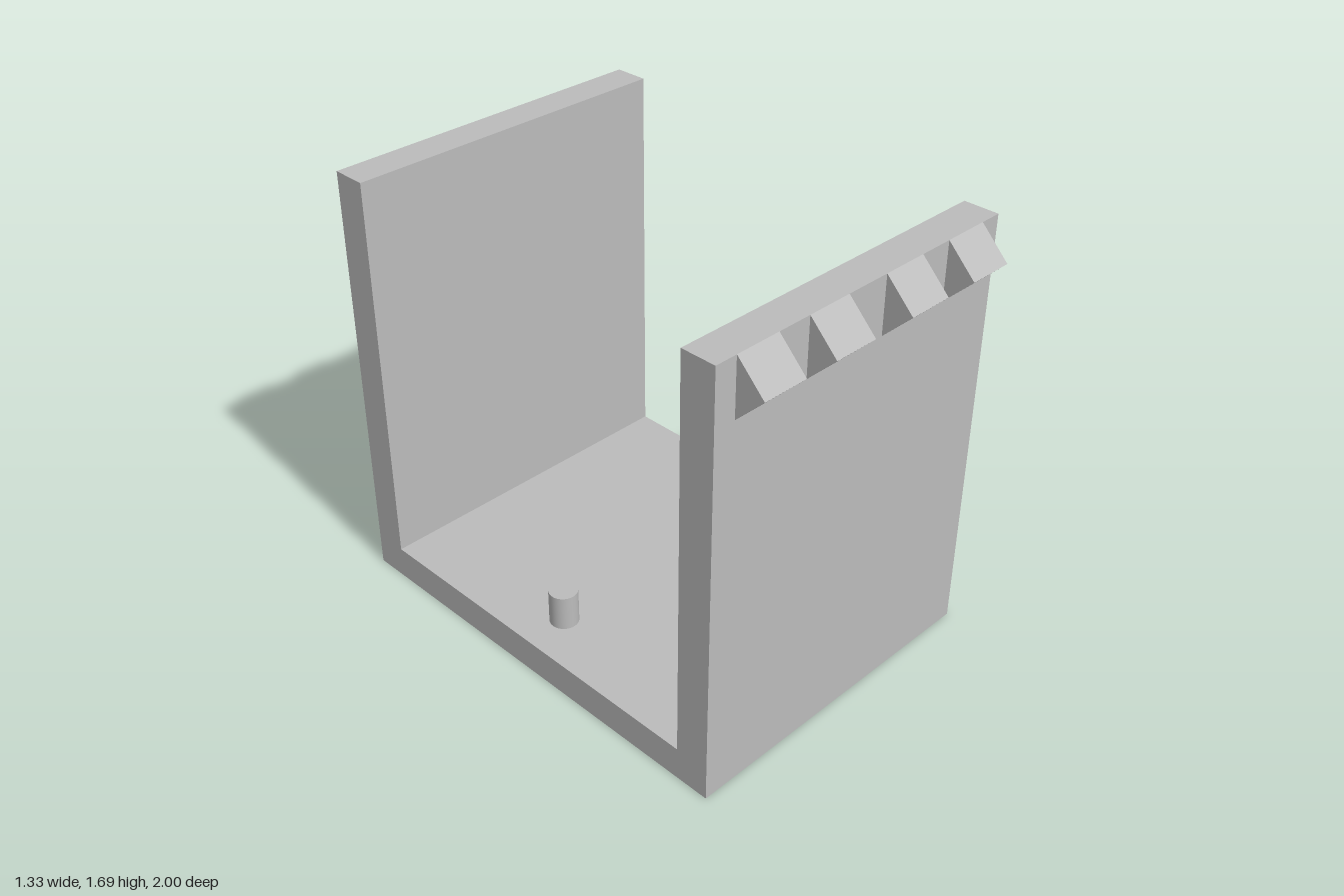
import * as THREE from 'three';

const HALF_W = 0.665, TOP = 1.69, FLOOR = 0.13, OUTER = 0.89, INNER = 0.755;

// Extrude a (z, y) profile along x, centred on x = 0
function extrudeAlongX(points, width) {
  const shape = new THREE.Shape(points.map(([z, y]) => new THREE.Vector2(z, y)));
  const geo = new THREE.ExtrudeGeometry(shape, { depth: width, bevelEnabled: false });
  geo.translate(0, 0, -width / 2);
  geo.rotateY(-Math.PI / 2);
  return geo;
}

export function createModel() {
  const model = new THREE.Group();
  model.name = 'clipBracket';
  const grey = new THREE.MeshStandardMaterial({ color: 0xbcbcbc });
  grey.name = 'lightGrey';

  const add = (name, geo, x = 0, y = 0, z = 0) => {
    const mesh = new THREE.Mesh(geo, grey);
    mesh.name = name;
    mesh.position.set(x, y, z);
    model.add(mesh);
    return mesh;
  };

  // U-shaped body: floor with a wall at the front and back
  add('channelBody', extrudeAlongX([
    [-OUTER, 0], [OUTER, 0], [OUTER, TOP], [INNER, TOP],
    [INNER, FLOOR], [-INNER, FLOOR], [-INNER, TOP], [-OUTER, TOP],
  ], HALF_W * 2));

  // Wedge catches along the top of both walls
  const catchGeo = extrudeAlongX([[OUTER, 1.47], [1, 1.58], [OUTER, TOP]], 0.178);
  for (const x of [-0.49, -0.178, 0.178, 0.49]) {
    add('frontCatch', catchGeo, x);
    add('backCatch', catchGeo, x).rotation.y = Math.PI;
  }

  // Locating pegs on the floor
  const pegGeo = new THREE.CylinderGeometry(0.055, 0.055, 0.14, 40);
  for (const side of [-1, 1]) {
    add(side > 0 ? 'leftPeg' : 'rightPeg', pegGeo, side * 0.49, FLOOR + 0.07, 0);
  }
  return model;
}
